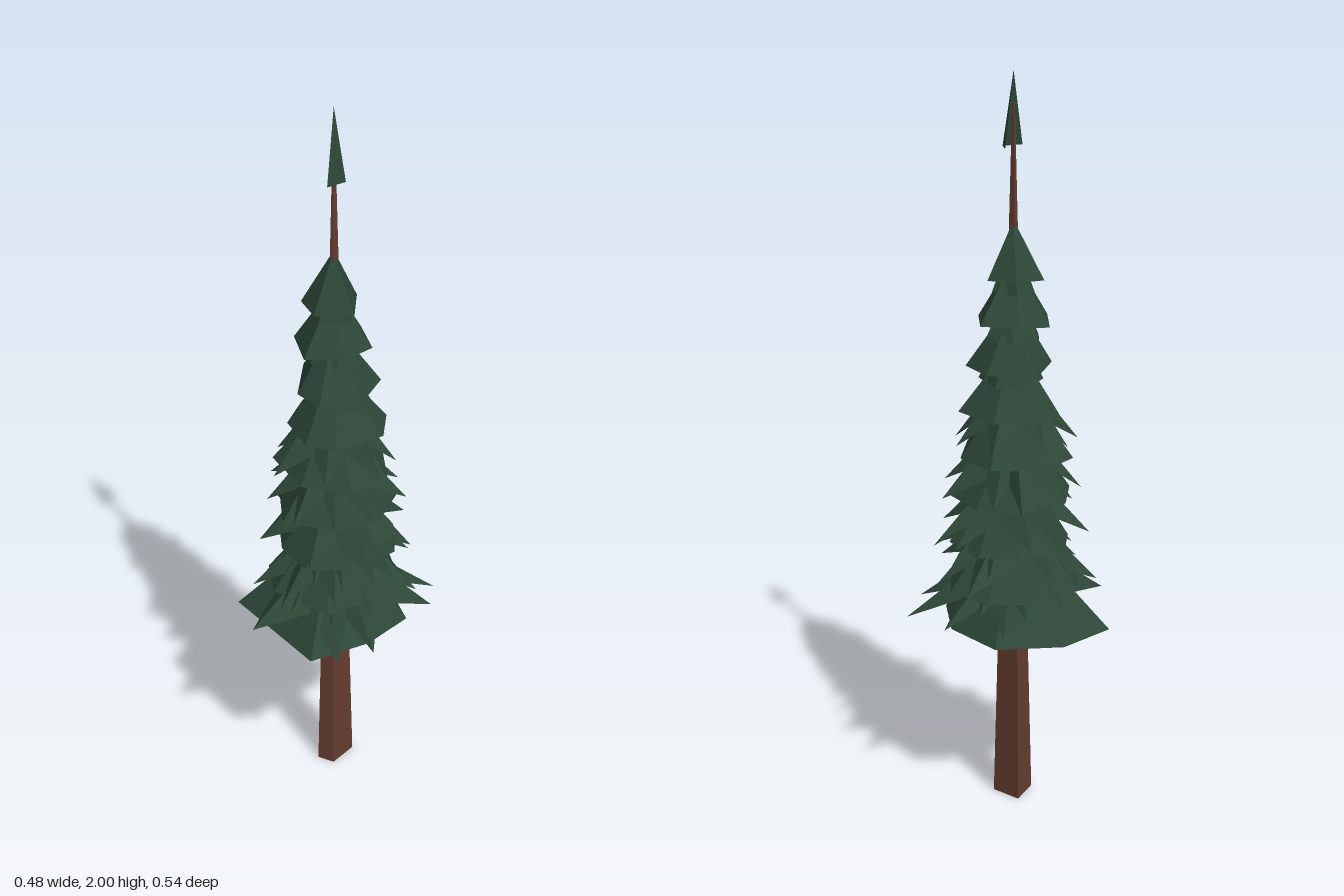
import * as THREE from 'three';

const needles = new THREE.MeshStandardMaterial({ color: 0x2d4738, flatShading: true, side: THREE.DoubleSide });
needles.name = 'needle green';
const bark = new THREE.MeshStandardMaterial({ color: 0x653d31, flatShading: true, side: THREE.DoubleSide });
bark.name = 'bark brown';

// small seeded generator for the irregular rims
function seeded(seed) {
  return () => {
    seed = (seed * 16807) % 2147483647;
    return seed / 2147483647;
  };
}

// faceted mesh from a list of triangles, each three [x, y, z] corners
function facets(name, triangles, material) {
  const g = new THREE.BufferGeometry();
  g.setAttribute('position', new THREE.Float32BufferAttribute(triangles.flat(2), 3));
  g.computeVertexNormals();
  const mesh = new THREE.Mesh(g, material);
  mesh.name = name;
  return mesh;
}

// skirt from an apex down to a rim, closed by a hollow underside
function skirt(name, apexY, rim, hollow) {
  const low = Math.min(...rim.map((p) => p[1]));
  const apex = [0, apexY, 0], under = [0, low + hollow, 0];
  const tris = [];
  rim.forEach((p, i) => {
    const q = rim[(i + 1) % rim.length];
    tris.push([apex, p, q], [under, q, p]);
  });
  return facets(name, tris, needles);
}

// insert a raised valley between neighbouring branch tips
function star(tips, depth, rise) {
  const sorted = [...tips].sort((a, b) => Math.atan2(a[0], a[2]) - Math.atan2(b[0], b[2]));
  return sorted.flatMap((p, i) => {
    const q = sorted[(i + 1) % sorted.length];
    const a = Math.atan2(p[0], p[2]);
    let b = Math.atan2(q[0], q[2]);
    if (b < a) b += Math.PI * 2;
    const r = depth * (Math.hypot(p[0], p[2]) + Math.hypot(q[0], q[2])) / 2;
    const m = (a + b) / 2;
    return [p, [r * Math.sin(m), (p[1] + q[1]) / 2 + rise, r * Math.cos(m)]];
  });
}

// tips spread evenly around a ring with slight irregularity
function ring(count, radius, y, phase, rand, lift) {
  return Array.from({ length: count }, (_, i) => {
    const a = phase + ((i + (rand() - 0.5) * 0.4) / count) * Math.PI * 2;
    const r = radius * (0.88 + rand() * 0.24);
    return [r * Math.sin(a), y + rand() * lift, r * Math.cos(a)];
  });
}

export function createModel() {
  const tree = new THREE.Group();
  tree.name = 'conifer';
  const rand = seeded(4711);

  // four-sided irregular tapering trunk
  const base = [[0, 0.055], [0.043, 0.032], [0.024, -0.05], [-0.053, -0.012]];
  const trunk = [];
  const at = ([x, z], y) => [x * (1 - y / 2.05), y, z * (1 - y / 2.05)];
  base.forEach((p, i) => {
    const q = base[(i + 1) % base.length];
    trunk.push([at(p, 0), at(q, 0), at(q, 1.92)], [at(p, 0), at(q, 1.92), at(p, 1.92)]);
    trunk.push([[0, 0, 0], at(q, 0), at(p, 0)]);
  });
  tree.add(facets('trunk', trunk, bark));

  // lowest skirt
  const hem = [[-0.175, 0.2], [0.155, 0.19], [0.185, 0.02], [0.16, -0.13], [0.01, -0.18], [-0.16, -0.13], [-0.222, 0.04]];
  tree.add(skirt('lowestSkirt', 0.8, hem.map(([x, z]) => [x, 0.525, z]), 0.02));

  // overlapping skirts: rim height, radius, sides, apex height above the rim
  const skirts = [
    [0.64, 0.175, 8, 0.25], [0.76, 0.165, 8, 0.25], [0.88, 0.157, 7, 0.24], [1.0, 0.147, 7, 0.22],
    [1.08, 0.1, 6, 0.18], [1.12, 0.13, 7, 0.19], [1.2, 0.088, 6, 0.17], [1.24, 0.117, 6, 0.18],
    [1.32, 0.072, 6, 0.16], [1.36, 0.1, 6, 0.17], [1.44, 0.06, 5, 0.15], [1.475, 0.085, 5, 0.15],
  ];
  skirts.forEach(([y, r, n, h], i) => {
    tree.add(skirt('skirt' + (i + 1), y + h, ring(n, r, y, i * 1.3, rand, 0.006), 0.04));
  });

  // long thin drooping branch tips on the lower half
  const whorls = [
    [[0, 0.57, 0.27], [0.215, 0.535, 0.145], [0.24, 0.54, 0.045], [0.185, 0.56, -0.195], [0.105, 0.54, -0.27],
      [-0.08, 0.57, -0.24], [-0.22, 0.58, -0.135], [-0.2, 0.55, 0.0]],
    ring(9, 0.19, 0.6, 0.2, rand, 0.03),
    [[0.06, 0.65, 0.22], [0.17, 0.69, 0.12], [0.21, 0.66, -0.12], [0.02, 0.66, -0.215], [-0.14, 0.68, -0.2],
      [-0.19, 0.65, 0.02], [-0.09, 0.64, 0.205]],
    ring(9, 0.185, 0.71, 0.5, rand, 0.03),
    [[0.24, 0.77, 0.045], [0.11, 0.79, 0.16], [-0.09, 0.78, 0.18], [-0.243, 0.79, 0.03], [-0.225, 0.81, -0.06],
      [-0.06, 0.78, -0.2], [0.02, 0.77, -0.225], [0.17, 0.78, -0.13]],
    ring(9, 0.18, 0.89, 0.3, rand, 0.03),
    ring(8, 0.165, 1.02, 0.8, rand, 0.03),
  ];
  whorls.forEach((tips, i) => {
    const y = Math.min(...tips.map((p) => p[1]));
    tree.add(skirt('branchWhorl' + (i + 1), y + 0.24, star(tips, 0.58, 0.055), 0.17));
  });

  // folded leader at the top, open on one side
  const top = [0, 2, 0];
  const a = [0.021, 1.81, 0.035], b = [-0.02, 1.81, -0.033], c = [0.022, 1.81, -0.02];
  tree.add(facets('leaderTip', [[top, a, c], [top, c, b]], needles));

  return tree;
}
